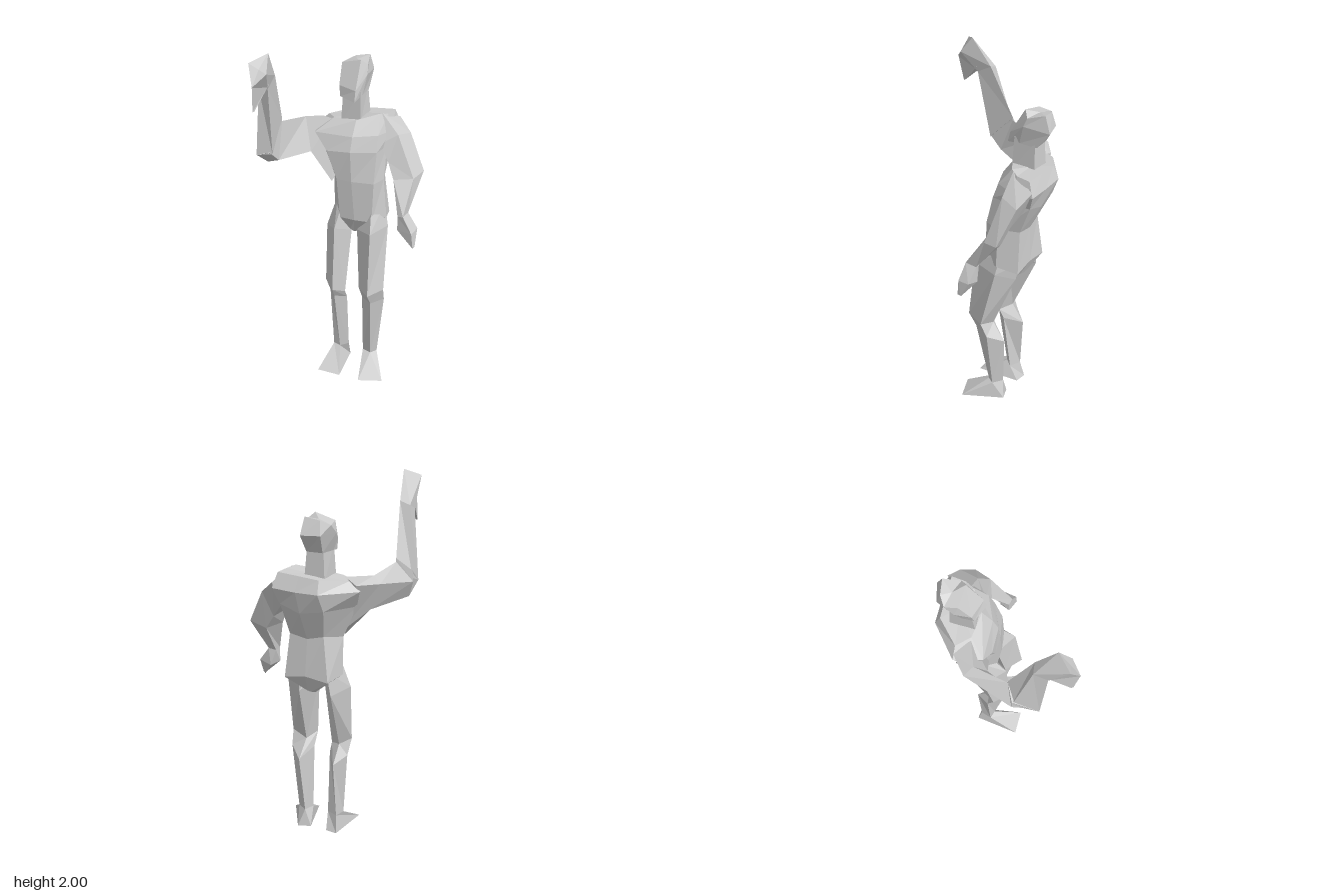
import * as THREE from 'three';

const clay = new THREE.MeshStandardMaterial({ color: 0xcccccc, flatShading: true });
clay.name = 'light grey clay';

// Skin a closed low-poly solid over matching rings of [x, y, z] points, capped at both ends.
function loft(name, rings) {
  const n = rings[0].length;
  const tris = [];
  for (let r = 0; r < rings.length - 1; r++) {
    for (let i = 0; i < n; i++) {
      const j = (i + 1) % n;
      const a = rings[r][i], b = rings[r][j], c = rings[r + 1][j], d = rings[r + 1][i];
      tris.push([a, b, c], [a, c, d]);
    }
  }
  const cap = (ring, flip) => {
    const mid = [0, 1, 2].map(k => ring.reduce((s, p) => s + p[k], 0) / n);
    ring.forEach((p, i) => {
      const q = ring[(i + 1) % n];
      tris.push(flip ? [mid, q, p] : [mid, p, q]);
    });
  };
  cap(rings[0], true);
  cap(rings[rings.length - 1], false);

  // Turn the faces outward whichever way the rings run
  const vec = p => new THREE.Vector3(...p);
  const volume = tris.reduce((s, [a, b, c]) => s + vec(a).dot(vec(b).cross(vec(c))), 0);
  if (volume < 0) tris.forEach(t => t.reverse());

  const geometry = new THREE.BufferGeometry();
  geometry.setAttribute('position', new THREE.Float32BufferAttribute(tris.flat(2), 3));
  geometry.computeVertexNormals();
  const mesh = new THREE.Mesh(geometry, clay);
  mesh.name = name;
  return mesh;
}

export function createModel() {
  const figure = new THREE.Group();
  figure.name = 'wavingFigure';
  const add = (name, ...rings) => figure.add(loft(name, rings));

  // Torso, crotch to shoulders: front, round by the left side, back, right side
  add('torso',
    [[.03, .88, -.12], [.06, .88, -.14], [.07, .88, -.2], [.06, .87, -.26], [.035, .87, -.27], [.01, .87, -.26], [0, .88, -.2], [0, .88, -.14]],
    [[.05, .97, -.08], [.15, .97, -.09], [.2, .97, -.19], [.17, .95, -.31], [.05, .97, -.31], [-.08, .95, -.31], [-.122, .97, -.2], [-.04, .97, -.085]],
    [[.03, 1.2, -.08], [.155, 1.2, -.1], [.18, 1.2, -.19], [.14, 1.2, -.3], [.04, 1.18, -.3], [-.05, 1.2, -.29], [-.12, 1.18, -.19], [-.06, 1.2, -.085]],
    [[.02, 1.37, -.085], [.155, 1.37, -.14], [.175, 1.38, -.24], [.16, 1.38, -.37], [.05, 1.34, -.37], [-.08, 1.36, -.36], [-.2, 1.36, -.2], [-.12, 1.36, -.085]],
    [[.02, 1.45, -.115], [.15, 1.46, -.17], [.19, 1.46, -.28], [.19, 1.47, -.402], [.06, 1.46, -.4], [-.065, 1.46, -.4], [-.24, 1.46, -.26], [-.2, 1.45, -.11]],
    [[.02, 1.53, -.17], [.13, 1.56, -.24], [.16, 1.55, -.29], [.17, 1.55, -.37], [.05, 1.54, -.37], [-.06, 1.53, -.37], [-.18, 1.51, -.26], [-.12, 1.52, -.19]]);

  // Neck and tilted head
  add('neck',
    [[-.075, 1.5, -.18], [.04, 1.5, -.18], [.045, 1.5, -.32], [-.07, 1.5, -.32]],
    [[-.07, 1.69, -.2], [.035, 1.69, -.19], [.03, 1.69, -.31], [-.06, 1.69, -.31]]);
  add('head',
    [[-.08, 1.65, -.18], [.02, 1.64, -.14], [.035, 1.66, -.22], [.03, 1.66, -.32], [-.06, 1.66, -.32], [-.085, 1.66, -.24]],
    [[-.09, 1.71, -.19], [.02, 1.7, -.155], [.05, 1.77, -.25], [.03, 1.76, -.395], [-.07, 1.76, -.37], [-.115, 1.76, -.27]],
    [[-.1, 1.82, -.25], [.015, 1.85, -.24], [.045, 1.82, -.27], [.02, 1.85, -.36], [-.06, 1.835, -.35], [-.108, 1.81, -.32]]);

  // Lowered left arm: outer front, outer back, inner back, inner front
  const leftWrist = [[.335, 1.04, -.09], [.34, 1.04, -.16], [.3, 1.03, -.15], [.3, 1.03, -.1]];
  add('leftArm',
    [[.14, 1.56, -.255], [.19, 1.5, -.4], [.17, 1.36, -.34], [.15, 1.4, -.2]],
    [[.235, 1.45, -.25], [.27, 1.43, -.358], [.235, 1.28, -.3], [.2, 1.3, -.2]],
    [[.345, 1.22, -.215], [.372, 1.24, -.305], [.29, 1.2, -.28], [.24, 1.21, -.18]],
    leftWrist);
  add('leftHand', leftWrist,
    [[.39, .95, -.08], [.4, .96, -.15], [.33, .94, -.16], [.3, .95, -.1]],
    [[.4, .865, -.08], [.405, .87, -.1], [.395, .86, -.1], [.39, .87, -.085]]);

  // Raised right arm: upper arm reaches forward, forearm rises
  add('rightUpperArm',
    [[-.22, 1.49, -.26], [-.13, 1.51, -.19], [-.1, 1.17, -.11], [-.1, 1.2, -.2]],
    [[-.32, 1.49, -.18], [-.27, 1.52, -.14], [-.215, 1.34, -.085], [-.26, 1.34, -.16]],
    [[-.405, 1.44, .09], [-.32, 1.55, .05], [-.31, 1.35, .12], [-.365, 1.34, .14]],
    [[-.4, 1.5, .09], [-.32, 1.57, .05], [-.32, 1.42, .2], [-.385, 1.41, .23]]);
  const rightWrist = [[-.345, 1.83, .18], [-.29, 1.85, .175], [-.29, 1.8, .26], [-.345, 1.8, .255]];
  add('rightForearm',
    [[-.4, 1.46, .09], [-.32, 1.57, .05], [-.31, 1.41, .19], [-.385, 1.41, .23]],
    rightWrist);
  add('rightHand', rightWrist,
    [[-.345, 1.96, .355], [-.27, 2, .28], [-.25, 1.91, .345], [-.305, 1.85, .4]]);
  add('rightThumb',
    [[-.345, 1.82, .25], [-.28, 1.83, .26], [-.305, 1.86, .4]],
    [[-.325, 1.71, .365], [-.315, 1.71, .365], [-.32, 1.71, .375]]);

  // Right leg, hip to ankle: outer, front, inner, back ridges
  const rightAnkle = [[-.095, .1, -.125], [-.05, .1, -.11], [-.012, .1, -.155], [-.075, .1, -.185]];
  add('rightLeg',
    [[-.09, 1.06, -.17], [-.04, 1.02, -.1], [.02, .95, -.2], [-.06, 1, -.28]],
    [[-.143, .88, -.14], [-.05, .92, -.03], [.005, .87, -.15], [-.08, .86, -.27]],
    [[-.13, .55, -.09], [-.05, .54, 0], [-.005, .5, -.08], [-.07, .52, -.13]],
    [[-.12, .46, -.13], [-.055, .48, -.04], [-.005, .45, -.11], [-.065, .42, -.205]],
    rightAnkle);

  // Left leg, hip to ankle: front, inner, back, outer ridges
  const leftAnkle = [[.145, .1, -.11], [.09, .1, -.13], [.115, .1, -.19], [.17, .1, -.15]];
  add('leftLeg',
    [[.14, 1.05, -.11], [.08, .98, -.13], [.1, .97, -.28], [.18, 1.05, -.21]],
    [[.165, .92, -.03], [.055, .9, -.11], [.11, .86, -.26], [.21, .92, -.19]],
    [[.17, .55, .01], [.085, .55, -.07], [.13, .52, -.13], [.222, .55, -.105]],
    [[.17, .48, -.04], [.09, .47, -.11], [.14, .42, -.21], [.214, .47, -.14]],
    leftAnkle);

  // Wedge feet
  add('rightFoot', rightAnkle,
    [[-.125, 0, .043], [.013, 0, .045], [-.02, 0, -.2], [-.085, 0, -.21]]);
  add('leftFoot', leftAnkle,
    [[.265, 0, 0], [.135, 0, .05], [.08, 0, -.19], [.15, 0, -.215]]);

  return figure;
}
